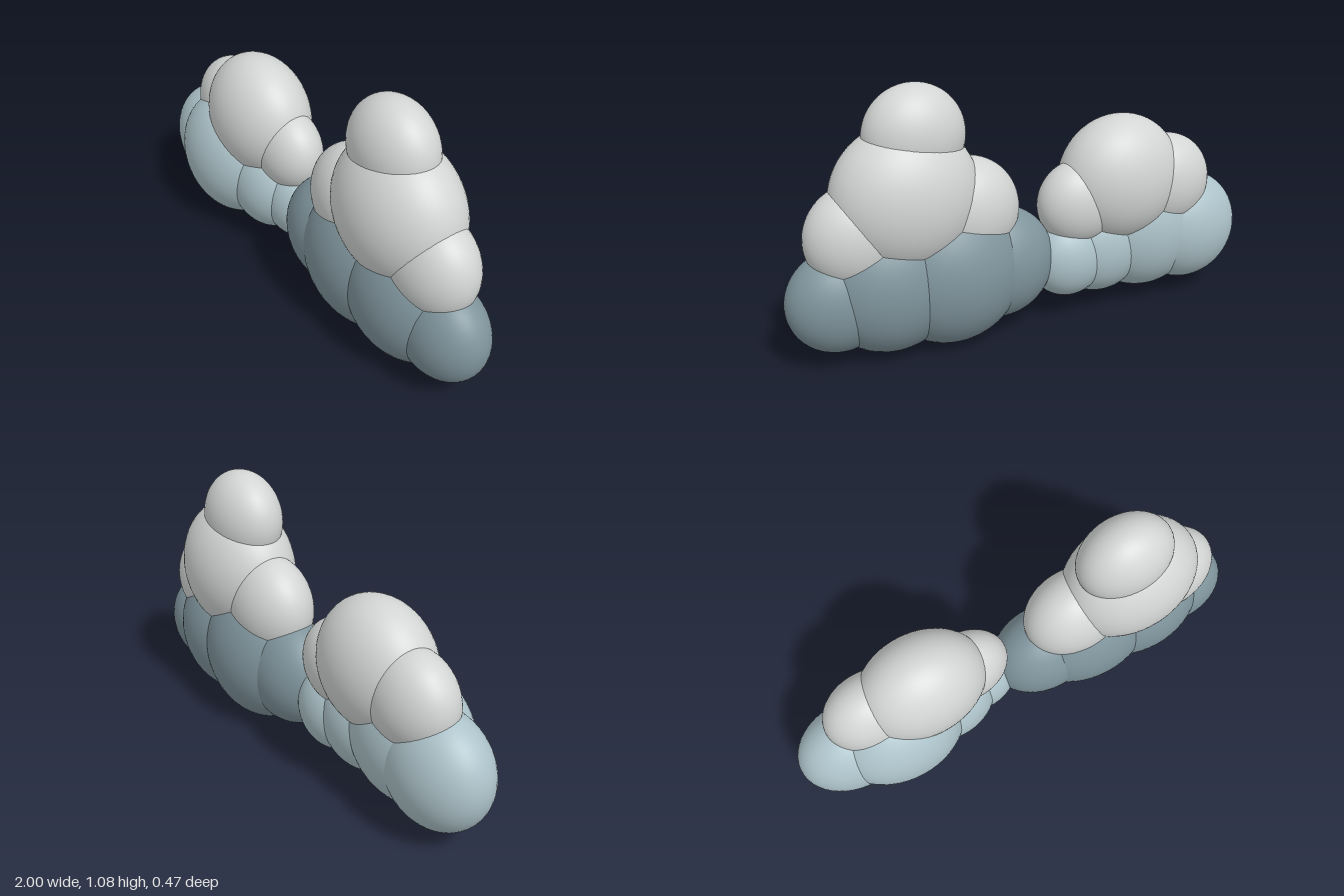
import * as THREE from 'three';

const paleBlue = new THREE.MeshStandardMaterial({ color: 0xadc3ca });
paleBlue.name = 'pale blue';
const slateBlue = new THREE.MeshStandardMaterial({ color: 0x7f949c });
slateBlue.name = 'slate blue';
const softGrey = new THREE.MeshStandardMaterial({ color: 0xd3d5d5 });
softGrey.name = 'soft grey';

const DEPTH = 0.73; // every puff is a ball flattened front to back
const ball = new THREE.SphereGeometry(1, 48, 32);

// Each puff: [name, x, y, z, radius]
const smallBase = [
  ['baseOuterPuff', -0.76, 0.305, -0.015, 0.24],
  ['baseLargePuff', -0.57, 0.33, 0.027, 0.28],
  ['baseMiddlePuff', -0.34, 0.288, 0, 0.21],
  ['baseInnerPuff', -0.18, 0.27, -0.03, 0.17],
];
const smallTop = [
  ['topOuterPuff', -0.632, 0.54, -0.037, 0.203],
  ['topLargePuff', -0.42, 0.58, -0.02, 0.27],
  ['topInnerPuff', -0.225, 0.505, -0.03, 0.18],
];
const tallBase = [
  ['baseInnerPuff', 0.13, 0.3, -0.01, 0.235],
  ['baseLargePuff', 0.335, 0.307, -0.015, 0.302],
  ['baseMiddlePuff', 0.585, 0.302, -0.005, 0.282],
  ['baseOuterPuff', 0.79, 0.27, -0.005, 0.207],
];
const tallTop = [
  ['topInnerPuff', 0.27, 0.55, -0.015, 0.22],
  ['topLargePuff', 0.51, 0.643, -0.008, 0.295],
  ['crownPuff', 0.465, 0.88, -0.008, 0.2],
  ['topOuterPuff', 0.70, 0.518, -0.008, 0.21],
];

function addPuffs(group, puffs, material) {
  for (const [name, x, y, z, r] of puffs) {
    const puff = new THREE.Mesh(ball, material);
    puff.name = name;
    puff.position.set(x, y, z);
    puff.scale.set(r, r, r * DEPTH);
    group.add(puff);
  }
}

function makeCloud(name, base, top, baseMaterial) {
  const cloud = new THREE.Group();
  cloud.name = name;
  addPuffs(cloud, base, baseMaterial);
  addPuffs(cloud, top, softGrey);
  return cloud;
}

export function createModel() {
  const model = new THREE.Group();
  model.name = 'cloudPair';
  model.add(makeCloud('smallCloud', smallBase, smallTop, paleBlue));
  model.add(makeCloud('tallCloud', tallBase, tallTop, slateBlue));
  return model;
}
